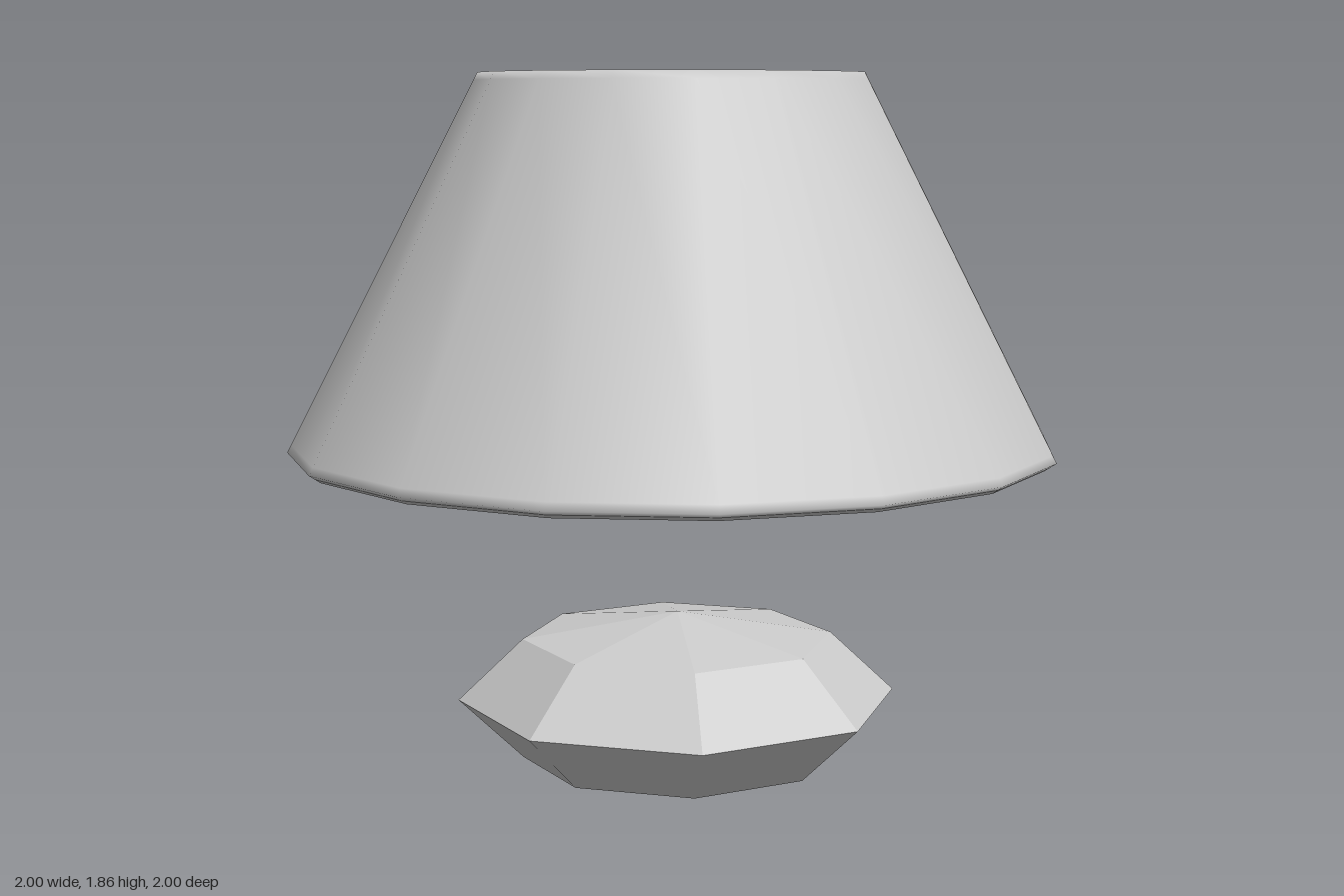
import * as THREE from 'three';

export function createModel() {
  const lamp = new THREE.Group();
  lamp.name = 'tableLamp';
  const smooth = new THREE.MeshStandardMaterial({ color: 0xcccccc });
  const flat = new THREE.MeshStandardMaterial({ color: 0xcccccc, flatShading: true });

  const add = (name, geometry, material, y = 0, z = 0) => {
    const mesh = new THREE.Mesh(geometry, material);
    mesh.name = name;
    mesh.position.set(0, y, z);
    lamp.add(mesh);
  };

  // Sixteen-sided shade: a closed thin wall, open at both ends, with narrow
  // loops beside the rims so that the smooth shading turns there only
  const wall = [
    [0.985, 0.88], [1, 0.89], [0.99, 0.91], [0.51, 1.84], [0.5, 1.86],
    [0.467, 1.85], [0.475, 1.83], [0.96, 0.89], [0.97, 0.87], [0.985, 0.88],
  ].map(([r, y]) => new THREE.Vector2(r, y));
  add('shade', new THREE.LatheGeometry(wall, 16), smooth);

  // Faceted bulb floating inside the shade
  add('bulb', new THREE.OctahedronGeometry(0.32), flat, 1.34, 0.015);

  // Squashed eight-sided base
  const base = new THREE.SphereGeometry(0.58, 8, 4);
  base.scale(1, 0.226 / 0.58, 1);
  add('base', base, flat, 0.226, 0.015);

  return lamp;
}
